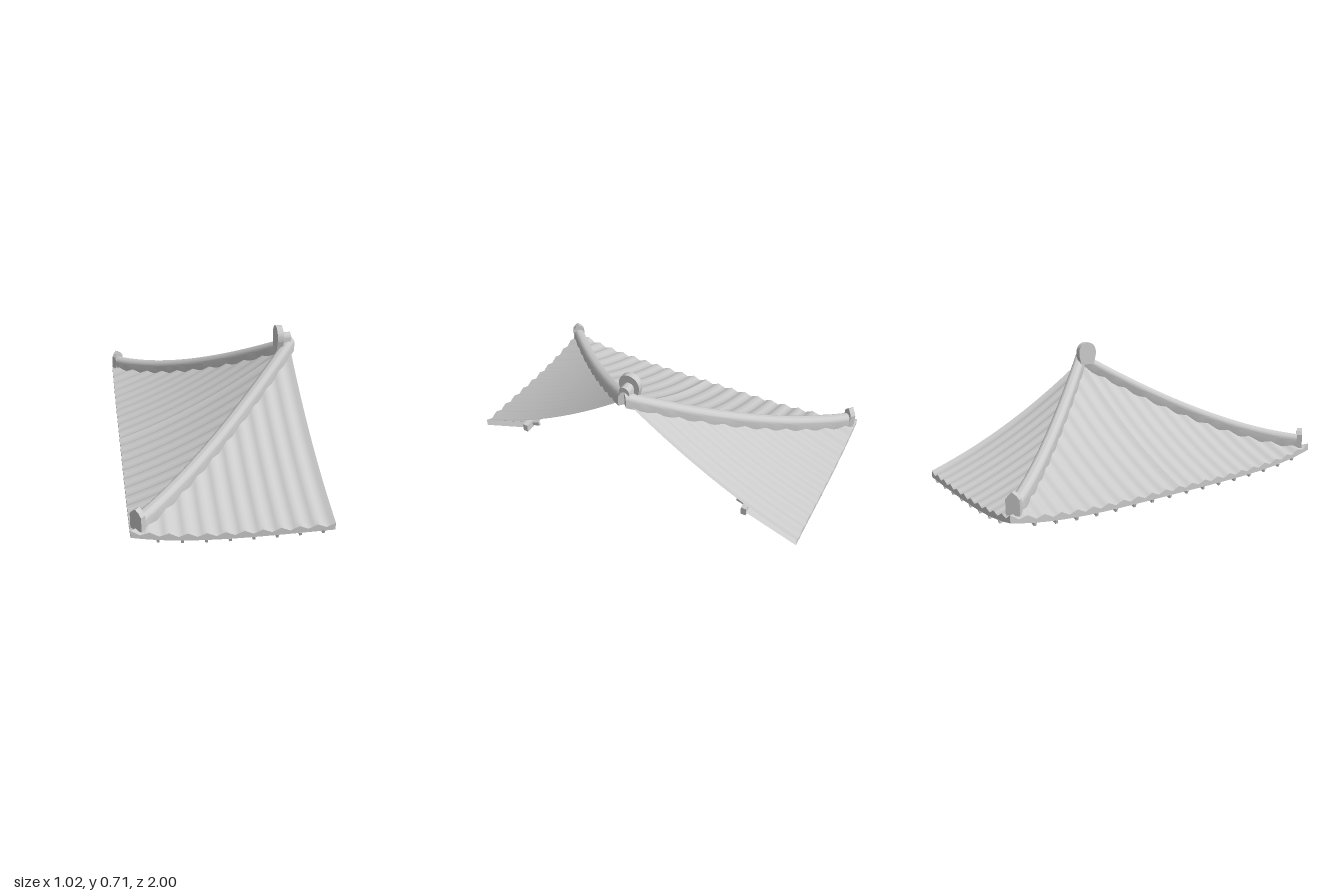
import * as THREE from 'three';
import { toCreasedNormals } from 'three/addons/utils/BufferGeometryUtils.js';

const material = new THREE.MeshStandardMaterial({ color: 0xcccccc, side: THREE.DoubleSide });
const APEX_X = 0.485;          // the slopes meet here; every eave is 1 unit away
const WAVES = 11;              // tile rows per unit
const SOFFIT_SLOPE = 0.34;

// Heights: s = distance from the apex down the slope, u = distance along the eave
const lift = (u) => 0.065 * u ** 4;
const slope = (s) => 0.585 - 0.745 * s + 0.21 * s * s;
const tileY = (u, s) => slope(s) + lift(u) + 0.01 * Math.cos(2 * Math.PI * WAVES * u);
const soffitY = (u, s) => 0.02 + SOFFIT_SLOPE * (1 - s) + lift(u);

function add(parent, name, geometry) {
  const mesh = new THREE.Mesh(geometry, material);
  mesh.name = name;
  parent.add(mesh);
  return mesh;
}

// Grid surface from a rule (u, v in 0..1) => [x, y, z]
function sheet(cols, rows, rule) {
  const points = [], index = [];
  for (let i = 0; i <= cols; i++) {
    for (let j = 0; j <= rows; j++) {
      points.push(...rule(i / cols, j / rows));
      if (i < cols && j < rows) {
        const a = i * (rows + 1) + j, b = a + rows + 1;
        index.push(a, a + 1, b, b, a + 1, b + 1);
      }
    }
  }
  const g = new THREE.BufferGeometry();
  g.setAttribute('position', new THREE.Float32BufferAttribute(points, 3));
  g.setIndex(index);
  g.computeVertexNormals();
  return g;
}

const polygon = (pts) => new THREE.Shape(pts.map(([x, y]) => new THREE.Vector2(x, y)));

function extrude(shape, depth, steps = 1, curveSegments = 8) {
  return new THREE.ExtrudeGeometry(shape, { depth, steps, curveSegments, bevelEnabled: false });
}

// Straight sides with a half-round top
function archShape(halfWidth, bottom, top) {
  const shape = new THREE.Shape();
  shape.moveTo(-halfWidth, bottom);
  shape.lineTo(halfWidth, bottom);
  shape.lineTo(halfWidth, top - halfWidth);
  shape.absarc(0, top - halfWidth, halfWidth, 0, Math.PI, false);
  shape.closePath();
  return shape;
}

// One half slope between the cut edge (or centre line) and a hip
function halfSlope() {
  const g = new THREE.Group();
  g.name = 'halfSlope';

  add(g, 'roofTiles', sheet(WAVES * 4, 24, (u, v) => {
    const s = u + (1 - u) * v;
    return [-u, tileY(u, s), s];
  }));
  add(g, 'eaveEdge', sheet(WAVES * 4, 1, (u, v) =>
    [-u, v ? tileY(u, 1) : soffitY(u, 1), 1]));
  add(g, 'soffit', sheet(40, 4, (u, v) => {
    const inner = Math.max(u, 0.7);
    const s = inner + (1 - inner) * v;
    return [-u, soffitY(u, s), s];
  }));

  // Mitred beam carrying the rafters
  const plan = polygon([[0, 0.685], [-0.685, 0.685], [-0.715, 0.715], [0, 0.715]]);
  add(g, 'eaveBeam', extrude(plan, 0.045).rotateX(Math.PI / 2)).position.y = 0.14;

  const tilt = Math.atan(SOFFIT_SLOPE);
  for (let k = 0; k < 8; k++) {
    const u = 0.058 + 0.116 * k;
    const run = Math.min(0.36, 0.98 - u);
    const rafter = add(g, 'rafter', new THREE.BoxGeometry(0.013, 0.02, run / Math.cos(tilt)));
    rafter.position.set(-u, 0.011 + SOFFIT_SLOPE * run / 2 + lift(u), 0.998 - run / 2);
    rafter.rotation.x = tilt;
  }
  return g;
}

// Curved hip ridge with its upright end tile
function hip() {
  const g = new THREE.Group();
  g.name = 'hipRidge';
  const geometry = extrude(archShape(0.033, -0.02, 0.06), 0.96 * Math.SQRT2, 28);
  const p = geometry.attributes.position;
  for (let i = 0; i < p.count; i++) {
    const s = p.getZ(i) / Math.SQRT2;
    p.setY(i, p.getY(i) + slope(s) + lift(s));
  }
  add(g, 'hipRidgeTiles', toCreasedNormals(geometry, 0.7));

  const end = polygon([[-0.035, 0], [0.035, 0], [0.035, 0.08], [0.02, 0.1],
    [0, 0.115], [-0.02, 0.1], [-0.035, 0.08]]);
  add(g, 'hipEndTile', extrude(end, 0.03)).position.set(0, 0.105, 0.95 * Math.SQRT2);
  g.rotation.y = -Math.PI / 4;
  return g;
}

export function createModel() {
  const model = new THREE.Group();
  model.name = 'hippedRoofEnd';
  const roof = new THREE.Group();
  roof.name = 'roof';
  roof.position.x = APEX_X;
  model.add(roof);

  // Front, back and the two halves of the end slope
  for (const [turn, mirror] of [[0, 1], [0, -1], [Math.PI / 2, -1], [-Math.PI / 2, 1]]) {
    const half = halfSlope();
    half.rotation.y = turn;
    half.scale.z = mirror;
    roof.add(half);
  }

  for (const side of [1, -1]) {
    const mirror = new THREE.Group();
    mirror.name = side > 0 ? 'frontHip' : 'backHip';
    mirror.scale.z = side;
    mirror.add(hip());
    roof.add(mirror);
  }

  // Stub of the main ridge and the rounded plate closing it
  const stub = extrude(archShape(0.03, 0.58, 0.672), 0.05).rotateY(Math.PI / 2);
  add(roof, 'mainRidge', toCreasedNormals(stub, 0.7)).position.x = -0.05;

  const plate = new THREE.Shape();
  plate.moveTo(-0.045, 0.58);
  plate.lineTo(0.045, 0.58);
  plate.lineTo(0.06, 0.64);
  plate.absarc(0, 0.655, 0.06, 0, Math.PI, false);
  plate.lineTo(-0.06, 0.64);
  plate.closePath();
  add(roof, 'ridgeEndPlate', extrude(plate, 0.035, 1, 6).rotateY(Math.PI / 2)).position.x = -0.085;

  return model;
}
